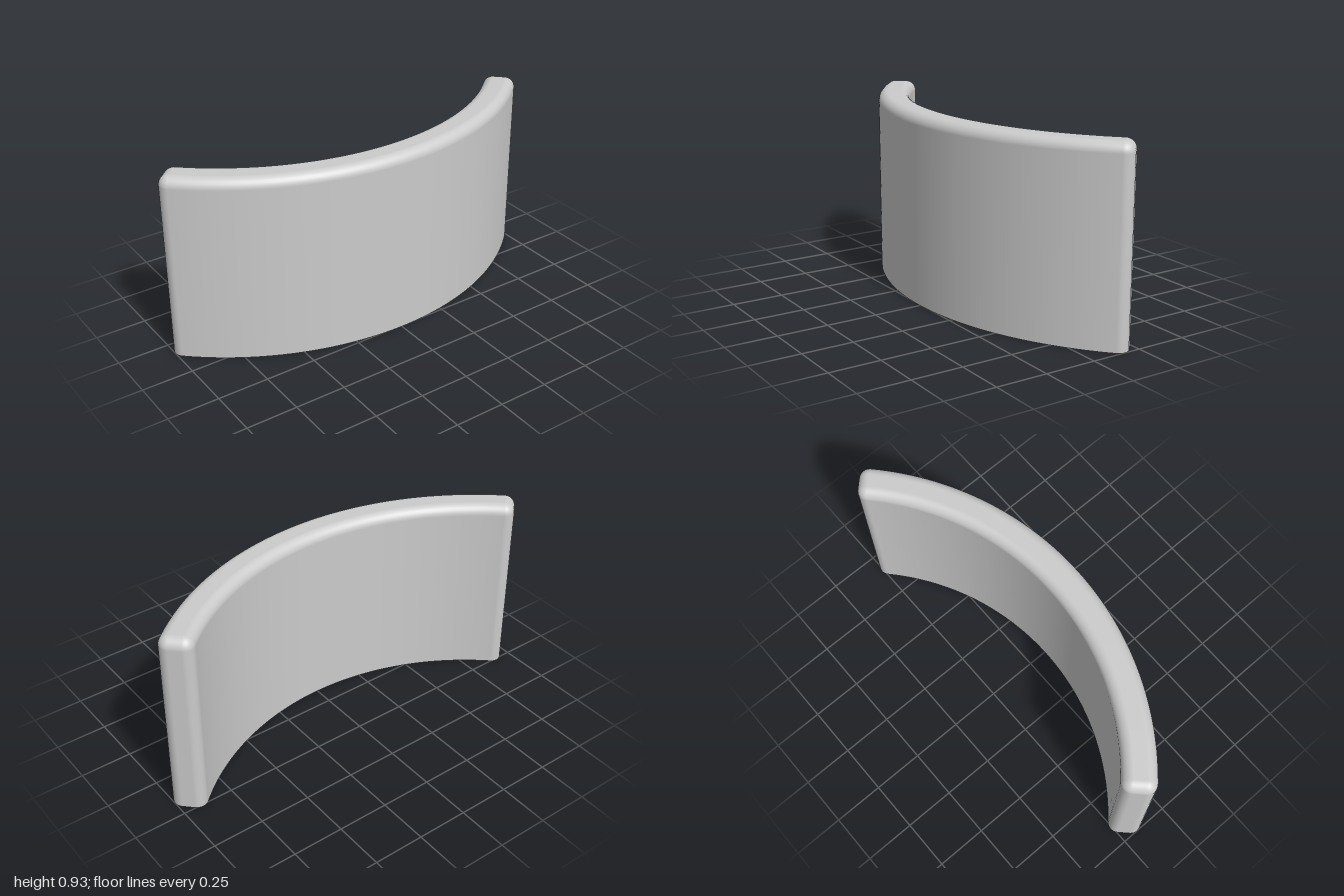
import * as THREE from 'three';

const OUTER = 1.44, INNER = 1.28;    // arc radii
const CENTRE_Z = 0.257 - OUTER;      // arc centre
const HALF = THREE.MathUtils.degToRad(45.2);
const R = 0.05, HEIGHT = 0.925;      // edge rounding, total height
const LONG = 32, ROUND = 8;          // segments per half arc / per rounding

// One side of the plan outline: [centre radius, centre angle, outward direction]
function side(radius, flip) {
  const end = HALF - Math.asin(R / radius);
  const half = [];
  for (let i = 0; i <= LONG; i++) {
    const a = end * i / LONG;
    half.push([radius, a, a + flip]);
  }
  for (let i = 1; i <= ROUND; i++) {
    half.push([radius, end, THREE.MathUtils.lerp(end + flip, HALF + Math.PI / 2, i / ROUND)]);
  }
  const mirrored = half.slice(1).reverse().map(([r, a, d]) => [r, -a, -d]);
  return [...mirrored, ...half];
}

function curvedPanelGeometry() {
  const ring = [...side(OUTER - R, 0), ...side(INNER + R, Math.PI).reverse()];
  const M = ring.length;
  const pos = [], nor = [], idx = [];

  const addRing = (y, phi, flat) => {
    for (const [rho, a, d] of ring) {
      const k = Math.cos(phi);
      pos.push(rho * Math.sin(a) + R * k * Math.sin(d), y,
        CENTRE_Z + rho * Math.cos(a) + R * k * Math.cos(d));
      if (flat) nor.push(0, -1, 0);
      else nor.push(Math.sin(d) * k, Math.sin(phi), Math.cos(d) * k);
    }
  };

  // Walls, then the rounded top edge
  addRing(0, 0, false);
  for (let j = 0; j <= ROUND; j++) {
    const phi = j / ROUND * Math.PI / 2;
    addRing(HEIGHT - R + R * Math.sin(phi), phi, false);
  }
  for (let j = 0; j <= ROUND; j++) {
    for (let i = 0; i < M; i++) {
      const n = (i + 1) % M, lo = j * M, hi = lo + M;
      idx.push(lo + i, lo + n, hi + n, lo + i, hi + n, hi + i);
    }
  }

  // Flat top and sharp-edged flat bottom, as strips across the thickness
  const top = (ROUND + 1) * M, bottom = top + M;
  addRing(0, 0, true);
  for (let i = 0; i < M / 2 - 1; i++) {
    const a = i, b = i + 1, c = M - 2 - i, d = M - 1 - i;
    idx.push(top + a, top + b, top + c, top + a, top + c, top + d);
    idx.push(bottom + a, bottom + c, bottom + b, bottom + a, bottom + d, bottom + c);
  }

  const g = new THREE.BufferGeometry();
  g.setAttribute('position', new THREE.Float32BufferAttribute(pos, 3));
  g.setAttribute('normal', new THREE.Float32BufferAttribute(nor, 3));
  g.setIndex(idx);
  return g;
}

export function createModel() {
  const group = new THREE.Group();
  group.name = 'curvedBackrest';
  const panel = new THREE.Mesh(curvedPanelGeometry(),
    new THREE.MeshStandardMaterial({ color: 0xcccccc }));
  panel.name = 'curvedPanel';
  group.add(panel);
  return group;
}
